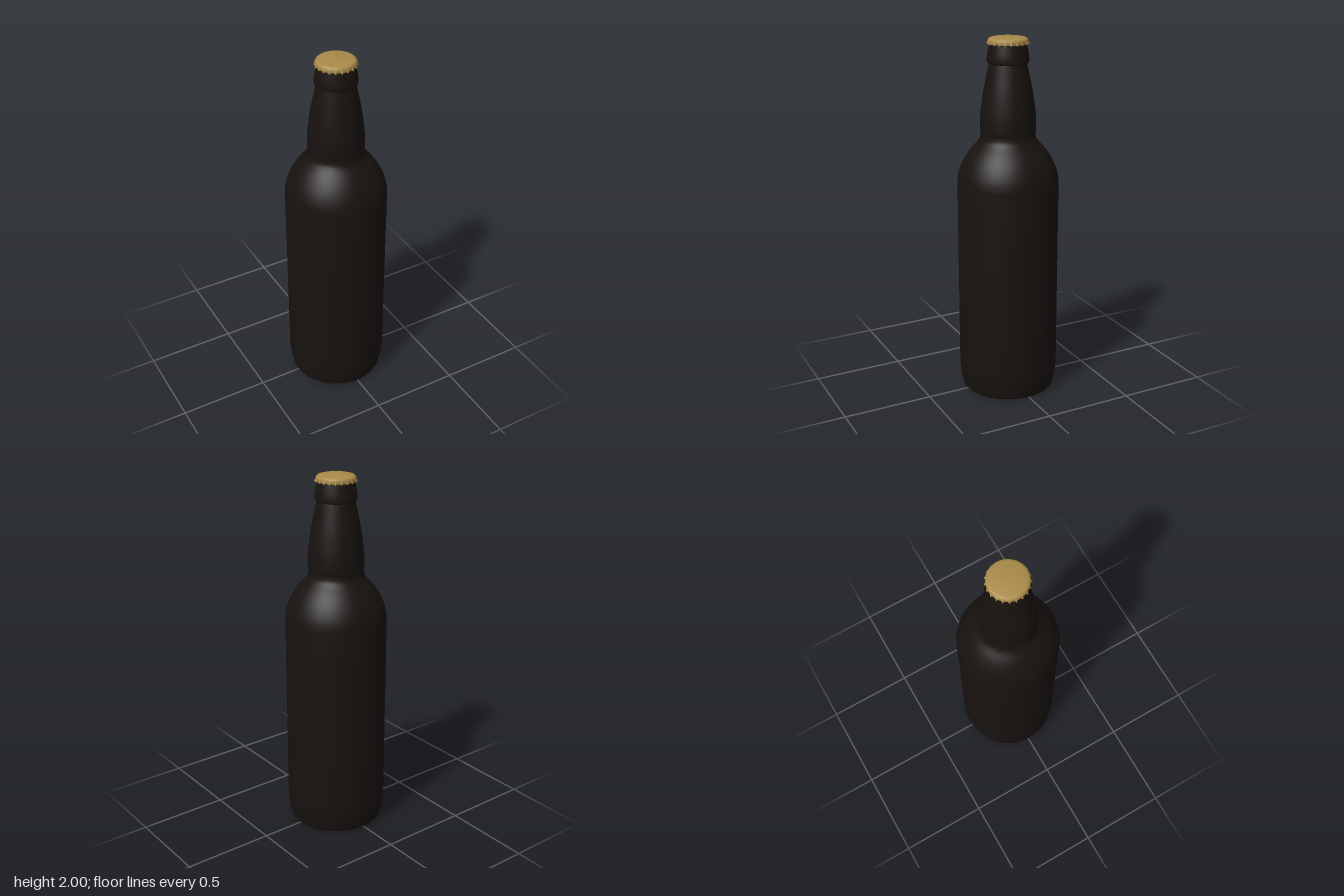
import * as THREE from 'three';
import { toCreasedNormals } from 'three/addons/utils/BufferGeometryUtils.js';

const vectors = (points) => points.map(([r, y]) => new THREE.Vector2(r, y));

function makeMesh(name, geometry, color, crease) {
  const material = new THREE.MeshStandardMaterial({ color });
  const mesh = new THREE.Mesh(toCreasedNormals(geometry, crease), material);
  mesh.name = name;
  return mesh;
}

// Glass bottle: turned profile from the base centre up to the mouth
function createBottle() {
  const base = vectors([[0, 0.02], [0.15, 0.017], [0.21, 0.006], [0.235, 0], [0.257, 0], [0.261, 0.008]]);
  const heel = new THREE.SplineCurve(vectors([[0.261, 0.008], [0.268, 0.04], [0.276, 0.09], [0.279, 0.13]]));
  const shoulder = new THREE.SplineCurve(vectors([
    [0.279, 1.22], [0.27, 1.27], [0.246, 1.33], [0.208, 1.39], [0.168, 1.435], [0.153, 1.46], [0.149, 1.485],
  ]));
  const neck = new THREE.SplineCurve(vectors([
    [0.153, 1.5], [0.152, 1.56], [0.147, 1.62], [0.134, 1.71], [0.118, 1.79], [0.102, 1.865],
  ]));
  const collar = vectors([[0.108, 1.867], [0.113, 1.873], [0.114, 1.885], [0.11, 1.92], [0.1, 1.965], [0, 1.966]]);
  const profile = [
    ...base,
    ...heel.getPoints(6).slice(1),
    ...shoulder.getPoints(20),
    ...neck.getPoints(16),
    ...collar,
  ];
  return makeMesh('bottle', new THREE.LatheGeometry(profile, 64), 0x17120f, 0.6);
}

// Crown cap: turned disc whose skirt is pushed out into narrow teeth
function createCap() {
  const teeth = 21;
  const profile = vectors([
    [0.1, 1.972], [0.106, 1.966], [0.107, 1.972], [0.107, 1.979], [0.107, 1.986],
    [0.104, 1.993], [0.099, 1.998], [0.092, 2], [0, 2],
  ]);
  const geometry = new THREE.LatheGeometry(profile, teeth * 10);
  const position = geometry.attributes.position;
  for (let i = 0; i < position.count; i++) {
    const x = position.getX(i), y = position.getY(i), z = position.getZ(i);
    const radius = Math.hypot(x, z);
    if (radius < 0.103 || y > 1.988) continue;
    const wave = Math.max(0, Math.cos(teeth * Math.atan2(z, x))) ** 2;
    const flare = THREE.MathUtils.clamp((1.987 - y) / 0.018, 0, 1);
    const scale = 1 + (0.009 * wave * flare) / radius;
    // The hem rises between the teeth
    const lift = y < 1.97 ? 0.004 * (1 - wave) : 0;
    position.setXYZ(i, x * scale, y + lift, z * scale);
  }
  return makeMesh('crownCap', geometry, 0xa98a48, 0.8);
}

export function createModel() {
  const group = new THREE.Group();
  group.name = 'cappedBottle';
  group.add(createBottle(), createCap());
  return group;
}
